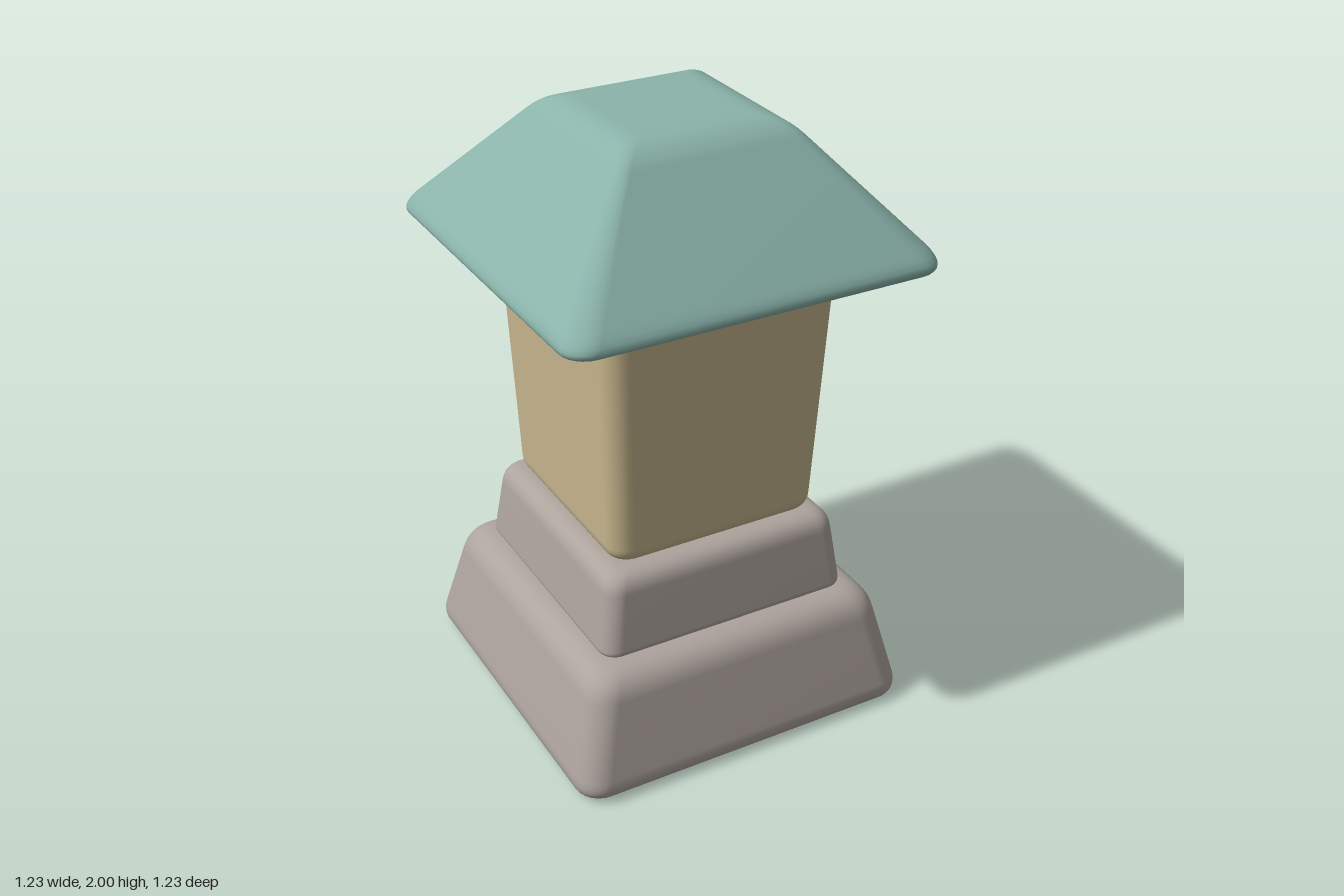
import * as THREE from 'three';

const material = (name, color) => {
  const m = new THREE.MeshStandardMaterial({ color });
  m.name = name;
  return m;
};

// Rounds the inner corners of a profile of [halfWidth, y, cornerRadius, cut]
function softProfile(points) {
  const v = points.map(([h, y, r]) => new THREE.Vector3(h, y, r));
  const out = [v[0]];
  for (let i = 1; i < v.length - 1; i++) {
    const cut = points[i][3];
    const toward = (p) => v[i].clone().lerp(p, cut / Math.hypot(p.x - v[i].x, p.y - v[i].y));
    out.push(...new THREE.QuadraticBezierCurve3(toward(v[i - 1]), v[i], toward(v[i + 1])).getPoints(8));
  }
  out.push(v[v.length - 1]);
  return out;
}

// Stacks rounded-square sections from bottom to top and closes both ends
function softBlock(points, steps = 6) {
  const rings = softProfile(points);
  const n = 4 * (steps + 1);
  const pos = [], index = [];
  for (const { x: h, y, z: r } of rings) {
    for (let c = 0; c < 4; c++) {
      const mid = Math.PI / 4 + c * Math.PI / 2;
      const cx = Math.sign(Math.cos(mid)) * (h - r), cz = Math.sign(Math.sin(mid)) * (h - r);
      for (let s = 0; s <= steps; s++) {
        const a = (c + s / steps) * Math.PI / 2;
        pos.push(cx + r * Math.cos(a), y, cz + r * Math.sin(a));
      }
    }
  }
  for (let i = 0; i < rings.length - 1; i++) {
    for (let j = 0; j < n; j++) {
      const a = i * n + j, b = i * n + (j + 1) % n;
      index.push(a, a + n, b, b, a + n, b + n);
    }
  }
  const top = (rings.length - 1) * n, low = pos.length / 3;
  pos.push(0, rings[0].y, 0, 0, rings[rings.length - 1].y, 0);
  for (let j = 0; j < n; j++) {
    const k = (j + 1) % n;
    index.push(low, j, k, low + 1, top + k, top + j);
  }
  const g = new THREE.BufferGeometry();
  g.setAttribute('position', new THREE.Float32BufferAttribute(pos, 3));
  g.setIndex(index);
  g.computeVertexNormals();
  return g;
}

export function createModel() {
  const stone = material('stone', 0xaea49e);
  const cream = material('cream', 0xc8b78e);
  const teal = material('teal', 0x8ab3aa);

  const parts = [
    // Wide foot
    ['lowerBase', stone, [[0.48, 0, 0.02], [0.606, 0, 0.09, 0.08], [0.512, 0.41, 0.09, 0.09], [0.38, 0.41, 0.02]]],
    // Narrower step
    ['upperBase', stone, [[0.38, 0.41, 0.02], [0.44, 0.41, 0.06, 0.025], [0.405, 0.685, 0.06, 0.065], [0.3, 0.685, 0.02]]],
    // Body that widens upward
    ['body', cream, [[0.27, 0.685, 0.02], [0.36, 0.685, 0.07, 0.055], [0.398, 1.58, 0.07, 0.06], [0.3, 1.58, 0.02]]],
    // Hipped roof with a flat top
    ['roof', teal, [[0.5, 1.562, 0.02], [0.655, 1.562, 0.1, 0.1], [0.261, 2, 0.03, 0.075], [0.17, 2, 0.01]]],
  ];

  const group = new THREE.Group();
  group.name = 'stoneLantern';
  for (const [name, mat, profile] of parts) {
    const mesh = new THREE.Mesh(softBlock(profile), mat);
    mesh.name = name;
    group.add(mesh);
  }
  return group;
}
